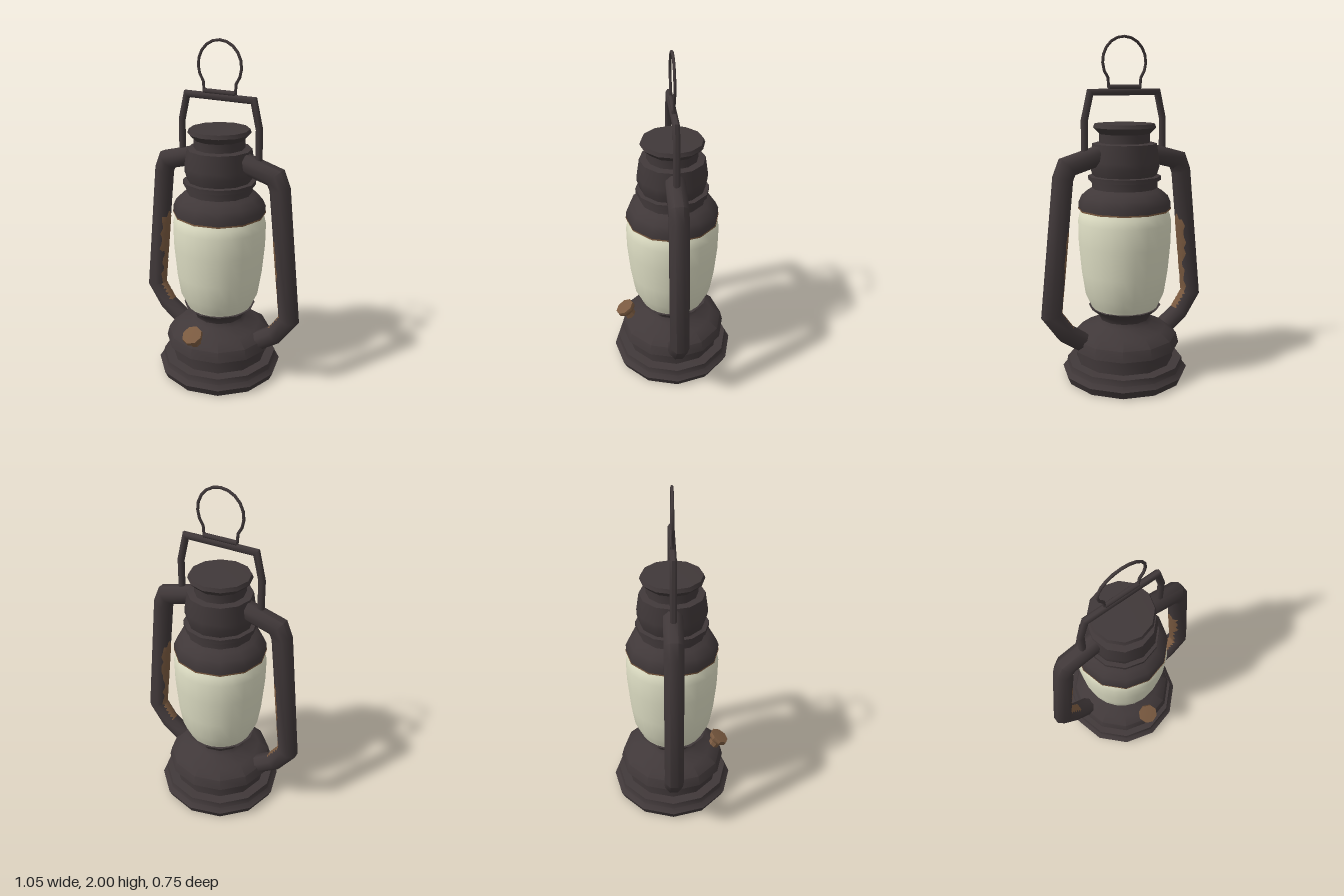
import * as THREE from 'three';
import { toCreasedNormals } from 'three/addons/utils/BufferGeometryUtils.js';

const paint = (name, color, side = THREE.FrontSide) => {
  const m = new THREE.MeshStandardMaterial({ color, side });
  m.name = name;
  return m;
};

// Mitred stations along a planar path; each has a centre p and an in-plane normal n
function stations(points, divisions = 1) {
  const pts = points.map(([x, y]) => new THREE.Vector2(x, y));
  const dir = pts.slice(1).map((p, i) => p.clone().sub(pts[i]).normalize());
  const corners = pts.map((p, i) => {
    const a = dir[Math.max(i - 1, 0)], b = dir[Math.min(i, dir.length - 1)];
    const t = a.clone().add(b).normalize();
    return { p, n: new THREE.Vector2(-t.y, t.x).divideScalar(t.dot(a)) };
  });
  const out = [corners[0]];
  for (let i = 1; i < corners.length; i++) {
    for (let k = 1; k <= divisions; k++) {
      const f = k / divisions;
      out.push({
        p: corners[i - 1].p.clone().lerp(corners[i].p, f),
        n: corners[i - 1].n.clone().lerp(corners[i].n, f),
      });
    }
  }
  return out;
}

// Skin a row of stations; section(i) returns [inPlane, depth] offsets
function skin(list, section) {
  const pos = [], index = [];
  let w = 0;
  list.forEach(({ p, n }, i) => {
    const s = section(i);
    w = s.length;
    for (const [u, z] of s) pos.push(p.x + n.x * u, p.y + n.y * u, z);
  });
  for (let i = 0; i < list.length - 1; i++) {
    for (let j = 0; j < w - 1; j++) {
      const a = i * w + j, c = a + w;
      index.push(a, a + 1, c, a + 1, c + 1, c);
    }
  }
  const g = new THREE.BufferGeometry();
  g.setAttribute('position', new THREE.Float32BufferAttribute(pos, 3));
  g.setIndex(index);
  return toCreasedNormals(g, 0.95);
}

// Point on an octagon at angle a, flat side at a = 0
function octagon(a, r) {
  const step = Math.PI / 4;
  const off = a - Math.round(a / step) * step;
  const d = r * Math.cos(step / 2) / Math.cos(off);
  return [d * Math.cos(a), d * Math.sin(a)];
}

const tube = (path, r) => {
  const ring = Array.from({ length: 9 }, (_, j) => octagon((j + 0.5) * Math.PI / 4, r));
  return skin(stations(path), () => ring);
};

const lathe = (profile, sides = 12) => toCreasedNormals(
  new THREE.LatheGeometry(profile.map(([x, y]) => new THREE.Vector2(x, y)), sides), 0.75);

export function createModel() {
  const iron = paint('dark iron', 0x403839);
  const glass = paint('frosted glass', 0xdedec4);
  const rust = paint('rust', 0x7a5a40, THREE.DoubleSide);
  const model = new THREE.Group();
  model.name = 'lantern';
  const add = (name, geometry, material, parent = model) => {
    const mesh = new THREE.Mesh(geometry, material);
    mesh.name = name;
    parent.add(mesh);
    return mesh;
  };

  // Stepped foot, fuel tank and burner collar
  add('base', lathe([[0, 0], [0.355, 0], [0.375, 0.045], [0.35, 0.07], [0.345, 0.105],
    [0.29, 0.11], [0.29, 0.195], [0.325, 0.2], [0.31, 0.26], [0.245, 0.305],
    [0.165, 0.335], [0.15, 0.36], [0.16, 0.39], [0.215, 0.435], [0, 0.435]]), iron);

  // Glass globe
  add('globe', lathe([[0.195, 0.43], [0.205, 0.455], [0.235, 0.52], [0.255, 0.65],
    [0.27, 0.82], [0.272, 0.95], [0.262, 0.995], [0.245, 1.03]], 24), glass);

  // Hood, ringed chimney and flared top
  add('chimney', lathe([[0, 1.022], [0.268, 1.022], [0.268, 1.06], [0.25, 1.1],
    [0.215, 1.13], [0.19, 1.145], [0.19, 1.188], [0.21, 1.19], [0.21, 1.215],
    [0.185, 1.218], [0.2, 1.265], [0.2, 1.3], [0.185, 1.4], [0.145, 1.405],
    [0.145, 1.455], [0.18, 1.49], [0.172, 1.512], [0, 1.514]]), iron);
  add('hoodRimRust', lathe([[0.25, 1.019], [0.271, 1.019], [0.271, 1.028]]), rust);

  // Side frame tubes with worn, rusty inner faces
  const sidePath = [[0.22, 0.21], [0.385, 0.325], [0.47, 0.445], [0.387, 1.22],
    [0.36, 1.285], [0.14, 1.345]];
  const wornPath = [[0.385, 0.325], [0.47, 0.445], [0.415, 0.96]];
  const worn = stations(wornPath, 14);
  for (const [name, turn] of [['left', 0], ['right', Math.PI]]) {
    const side = new THREE.Group();
    side.name = name + 'Frame';
    side.rotation.y = turn;
    model.add(side);
    add('sideTube', tube(sidePath, 0.058), iron, side);
    add('rustPatch', skin(worn, (i) => {
      const end = i === worn.length - 1 ? 0.1 : 1;
      const reach = i > 20 ? 0.85 : 0.48;
      const edge = (s) => end * (reach + 0.16 * Math.sin(i * 2.3 + s + turn));
      const lo = -edge(0), hi = edge(1.7), k = Math.PI / 8;
      return [lo, Math.max(lo, -k), Math.min(hi, k), hi].map((a) => octagon(a, 0.0595));
    }), rust, side);
  }

  // Bail frame above the chimney
  add('bail', tube([[0.252, 1.3], [0.252, 1.535], [0.215, 1.688], [-0.215, 1.688],
    [-0.252, 1.535], [-0.252, 1.3]], 0.02), iron);

  // Hanging ring and its pivot
  const pivot = add('ringPivot', new THREE.CylinderGeometry(0.014, 0.014, 0.2, 8), iron);
  pivot.rotation.z = Math.PI / 2;
  pivot.position.y = 1.714;
  const loop = [[0.1, 1.71]];
  for (let i = 0; i <= 14; i++) {
    const a = -0.7 + i / 14 * (Math.PI + 1.4);
    loop.push([0.137 * Math.cos(a), 1.855 + 0.137 * Math.sin(a)]);
  }
  loop.push([-0.1, 1.71]);
  add('hangingRing', tube(loop, 0.008), iron);

  // Tilted filler cap on the front of the tank
  const filler = new THREE.Group();
  filler.name = 'fillerCap';
  filler.position.set(0, 0.335, 0.295);
  filler.rotation.x = 0.53;
  model.add(filler);
  add('capStem', lathe([[0.036, -0.11], [0.036, -0.015]], 8), rust, filler);
  add('capLid', lathe([[0, -0.018], [0.05, -0.018], [0.062, 0], [0.06, 0.02], [0, 0.024]], 8),
    rust, filler);

  return model;
}
